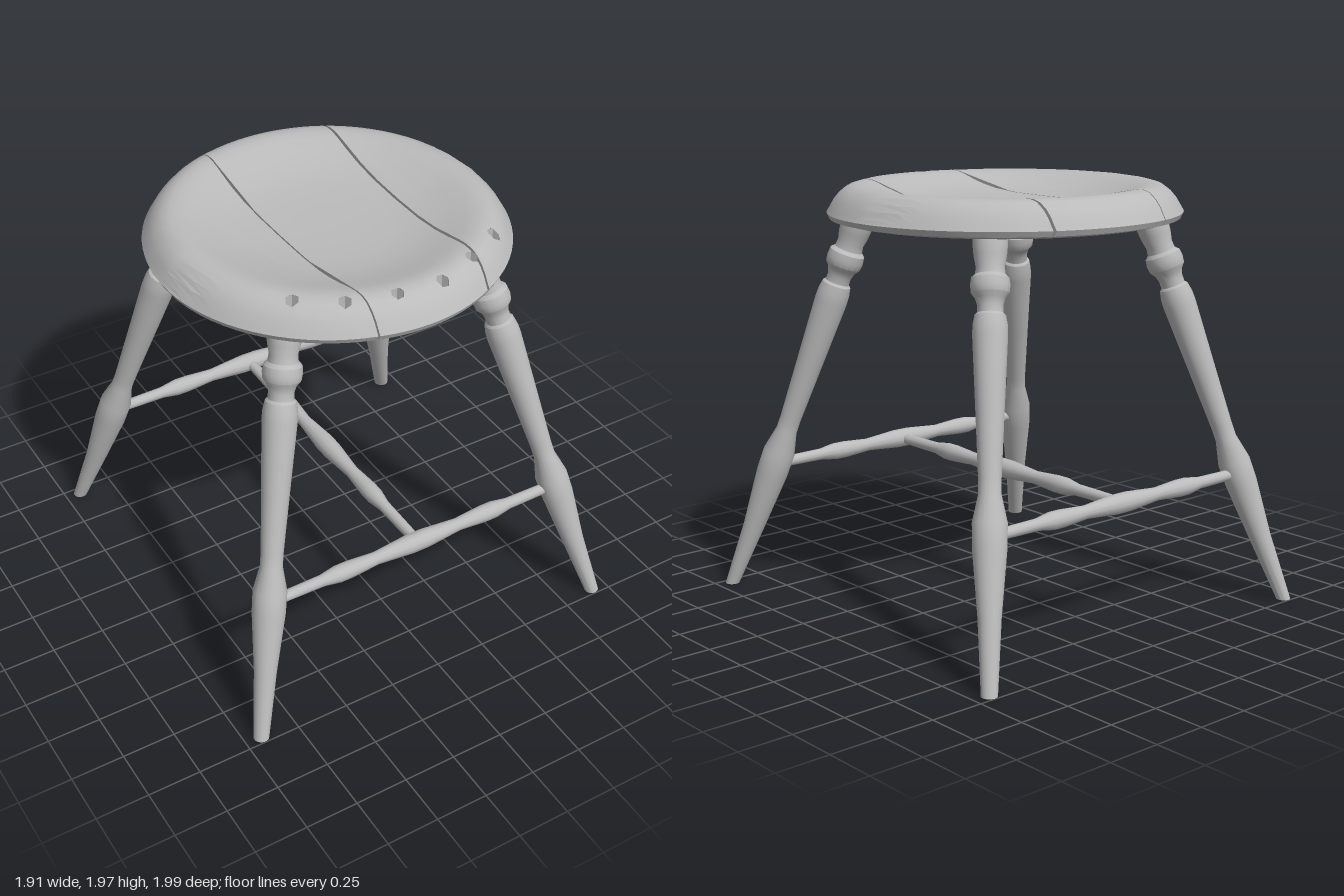
import * as THREE from 'three';
import { toCreasedNormals } from 'three/addons/utils/BufferGeometryUtils.js';

const V = (x, y, z) => new THREE.Vector3(x, y, z);

// Seat cross-section as [radius, height]: dished top and slightly domed underside
const R = 0.817;
const TOP = [[0, 1.886], [0.15, 1.887], [0.3, 1.892], [0.4, 1.902], [0.48, 1.918], [0.55, 1.938], [0.61, 1.957],
  [0.65, 1.966], [0.69, 1.967], [0.725, 1.957], [0.76, 1.93], [0.785, 1.9], [0.805, 1.865], [R, 1.845]];
const BOTTOM = [[0, 1.795], [0.4, 1.796], [0.66, 1.8], [0.76, 1.808], [0.805, 1.82], [R, 1.845]];
// Seams are not quite parallel: sideways lean per unit of depth
const LEAN = [[-R, 0], [-0.235, 0.018], [0.357, -0.008], [R, 0]];

function lookup(table, v) {
  for (let i = 1; i < table.length; i++) {
    const [a, ya] = table[i - 1], [b, yb] = table[i];
    if (v <= b) return ya + (yb - ya) * (v - a) / (b - a);
  }
  return table[table.length - 1][1];
}

// Drilled holes near the front rim, [x, z]
const HOLES = [[-0.48, 0.52], [-0.3, 0.64], [-0.085, 0.7], [0.13, 0.71], [0.33, 0.63], [0.52, 0.52]];
const HOLE_R = 0.03, SIDES = 6;

// Closed cross-section of the seat at a given x
function section(x) {
  const ax = Math.abs(x);
  const point = (table, [r, y]) => V(x, r > ax ? y : lookup(table, ax), Math.sqrt(Math.max(0, r * r - x * x)));
  const half = [...TOP.map(p => point(TOP, p)), ...BOTTOM.slice(0, -1).reverse().map(p => point(BOTTOM, p))];
  const other = half.slice().reverse().map(p => V(p.x, p.y, -p.z));
  return [...half, ...other];
}

// Triangles of one plank between two seams, with end walls
function plankPolygons(x0, x1) {
  const n = 18, a0 = Math.asin(x0 / R), a1 = Math.asin(x1 / R), loops = [];
  for (let i = 0; i <= n; i++) loops.push(section(R * Math.sin(a0 + (a1 - a0) * i / n)));
  const wall = x => loops[0].map(() => V(x, 1.85, 0));
  loops.unshift(wall(x0));
  loops.push(wall(x1));
  loops.flat().forEach(p => { p.x += lookup(LEAN, p.x) * p.z; });
  const polys = [];
  for (let i = 0; i + 1 < loops.length; i++) {
    for (let j = 0; j < loops[0].length; j++) {
      const k = (j + 1) % loops[0].length;
      const a = loops[i][j], b = loops[i][k], c = loops[i + 1][k], d = loops[i + 1][j];
      polys.push([a, b, c], [a, c, d]);
    }
  }
  return polys;
}

// Part of a polygon where sign * distance is positive
function clip(poly, dist, sign) {
  const out = [];
  poly.forEach((p, i) => {
    const q = poly[(i + 1) % poly.length], dp = sign * dist(p), dq = sign * dist(q);
    if (dp >= 0) out.push(p);
    if ((dp > 0 && dq < 0) || (dp < 0 && dq > 0)) out.push(p.clone().lerp(q, dp / (dp - dq)));
  });
  return out;
}

// Cut an upright six-sided hole through a set of polygons
function drill(polys, [cx, cz]) {
  const planes = [];
  for (let k = 0; k < SIDES; k++) {
    const a = (k + 0.5) * 2 * Math.PI / SIDES, reach = HOLE_R * Math.cos(Math.PI / SIDES);
    planes.push(p => (p.x - cx) * Math.cos(a) + (p.z - cz) * Math.sin(a) - reach);
  }
  const kept = [];
  for (const poly of polys) {
    if (planes.some(d => poly.every(p => d(p) >= 0))) { kept.push(poly); continue; }
    let rest = poly;
    for (const d of planes) {
      const outside = clip(rest, d, 1);
      if (outside.length > 2) kept.push(outside);
      rest = clip(rest, d, -1);
      if (rest.length < 3) break;
    }
  }
  return kept;
}

// Inner walls of a hole
function holeWalls([cx, cz]) {
  const corner = (k, table) => {
    const a = k * 2 * Math.PI / SIDES;
    const x = cx + HOLE_R * Math.cos(a), z = cz + HOLE_R * Math.sin(a);
    return V(x, lookup(table, Math.hypot(x, z)), z);
  };
  const walls = [];
  for (let k = 0; k < SIDES; k++) {
    walls.push([corner(k, BOTTOM), corner(k + 1, BOTTOM), corner(k + 1, TOP), corner(k, TOP)]);
  }
  return walls;
}

function polygonGeometry(polys, crease) {
  const pos = [], e = V(), f = V();
  for (const p of polys) {
    for (let i = 1; i + 1 < p.length; i++) {
      e.subVectors(p[i], p[0]);
      f.subVectors(p[i + 1], p[0]);
      if (e.cross(f).length() < 1e-9) continue;
      for (const v of [p[0], p[i], p[i + 1]]) pos.push(v.x, v.y, v.z);
    }
  }
  const g = new THREE.BufferGeometry();
  g.setAttribute('position', new THREE.Float32BufferAttribute(pos, 3));
  return toCreasedNormals(g, crease);
}

// Turned spindle along the line from a to b; profile is [radius, fraction of length]
function turned(profile, a, b, sides) {
  const axis = b.clone().sub(a), length = axis.length();
  const g = new THREE.LatheGeometry(profile.map(([r, t]) => new THREE.Vector2(r, t * length)), sides);
  g.applyQuaternion(new THREE.Quaternion().setFromUnitVectors(V(0, 1, 0), axis.normalize()));
  g.translate(a.x, a.y, a.z);
  // feet are trimmed level with the floor
  const p = g.attributes.position;
  for (let i = 0; i < p.count; i++) p.setY(i, Math.max(0.004, p.getY(i)));
  return toCreasedNormals(g, 0.6);
}

export function createModel() {
  const model = new THREE.Group();
  const wood = new THREE.MeshStandardMaterial({ color: 0xbbbbbb });
  wood.name = 'plainGrey';
  const add = (parent, name, geometry) => {
    const mesh = new THREE.Mesh(geometry, wood);
    mesh.name = name;
    parent.add(mesh);
  };

  // Seat of three planks, drilled along the front
  const seat = new THREE.Group();
  seat.name = 'seat';
  seat.rotation.x = 0.005;
  seat.position.z = -0.012;
  model.add(seat);
  const planks = [['rightPlank', -R, -0.239], ['middlePlank', -0.232, 0.351], ['leftPlank', 0.363, R]];
  for (const [name, x0, x1] of planks) {
    add(seat, name, polygonGeometry(HOLES.reduce(drill, plankPolygons(x0, x1)), 0.7));
  }
  add(seat, 'holeWalls', polygonGeometry(HOLES.flatMap(holeWalls), 0.2));

  // Splayed turned legs; profile heights are measured up from the floor
  const legTop = 1.84;
  const legProfile = [[0, -0.02], [0.036, -0.02], [0.051, 0.3], [0.075, 0.57], [0.076, 0.67], [0.05, 0.78],
    [0.05, 0.84], [0.062, 1.1], [0.077, 1.41], [0.076, 1.45], [0.068, 1.49], [0.057, 1.5], [0.056, 1.53],
    [0.066, 1.56], [0.083, 1.58], [0.087, 1.61], [0.083, 1.64], [0.066, 1.655], [0.062, 1.685], [0.072, 1.73],
    [0.076, 1.77], [0.076, legTop], [0, legTop]].map(([r, y]) => [r, y / legTop]);
  for (const sx of [-1, 1]) {
    for (const sz of [-1, 1]) {
      const name = (sz > 0 ? 'front' : 'back') + (sx > 0 ? 'Left' : 'Right') + 'Leg';
      add(model, name, turned(legProfile, V(sx * 0.917, 0, sz * 0.957), V(sx * 0.475, legTop, sz * 0.454), 18));
    }
  }

  // Stretchers with three swellings, joined by a cross rail
  const halfRail = [[0, -0.77], [0.025, -0.77], [0.028, -0.5], [0.041, -0.42], [0.041, -0.36], [0.031, -0.22],
    [0.046, -0.04]];
  const rail = [...halfRail, ...halfRail.slice().reverse().map(([r, t]) => [r, -t])].map(([r, t]) => [r, (t + 0.77) / 1.54]);
  const h = 0.613;
  add(model, 'frontStretcher', turned(rail, V(-0.77, h, 0.787), V(0.77, h, 0.787), 12));
  add(model, 'backStretcher', turned(rail, V(-0.77, h, -0.787), V(0.77, h, -0.787), 12));
  add(model, 'crossStretcher', turned(rail, V(0, h, -0.78), V(0, h, 0.78), 12));

  return model;
}
